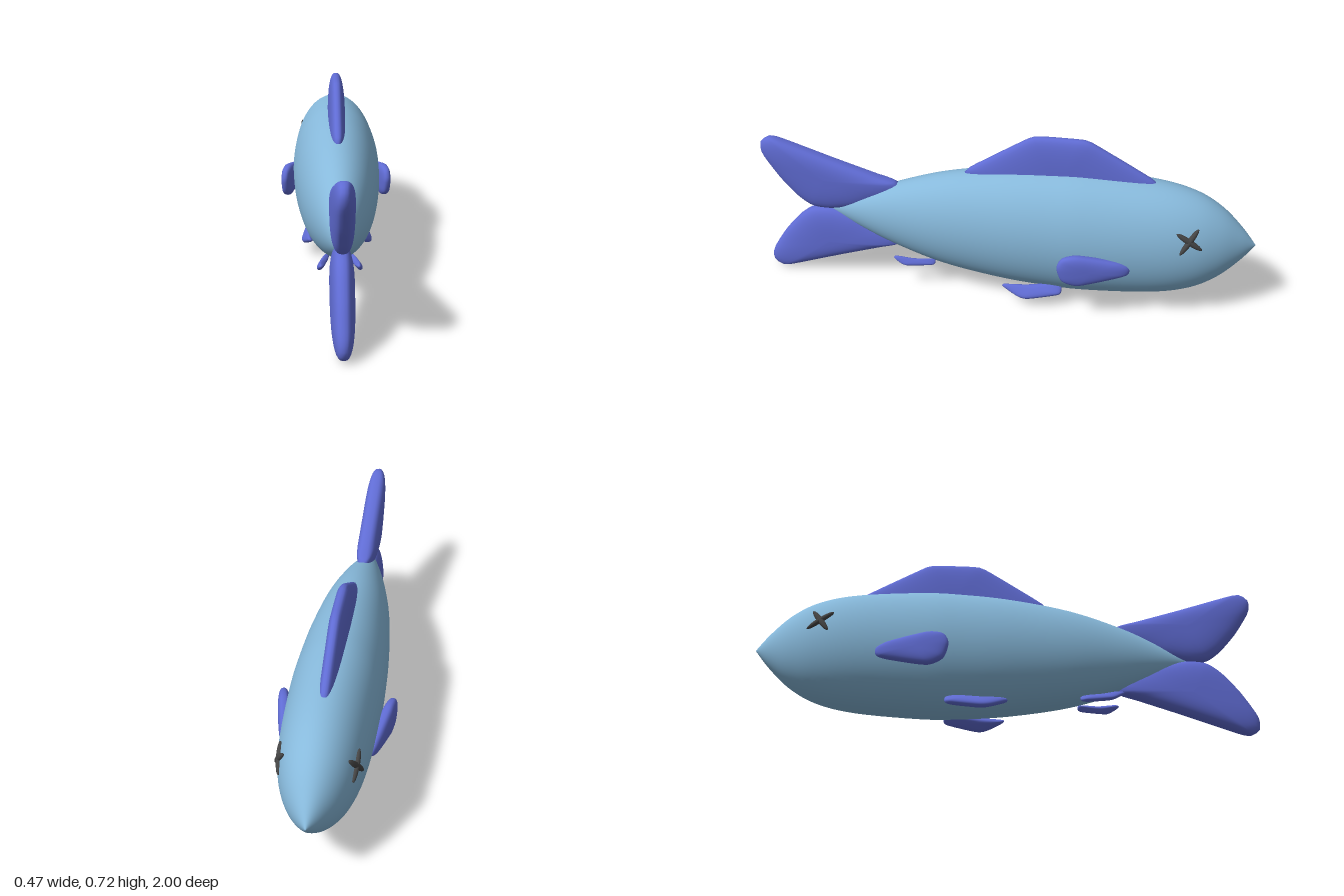
import * as THREE from 'three';

const bodyBlue = new THREE.MeshStandardMaterial({ color: 0x87b9db });
bodyBlue.name = 'bodyBlue';
const finIndigo = new THREE.MeshStandardMaterial({ color: 0x606cd4 });
finIndigo.name = 'finIndigo';
const eyeGrey = new THREE.MeshStandardMaterial({ color: 0x444444 });
eyeGrey.name = 'eyeGrey';

// Cushion-like fin: rings of a smooth (z, y) outline shrink towards both flat sides.
function finGeometry(outline, halfThickness, tension = 0.35) {
  const curve = new THREE.CatmullRomCurve3(
    outline.map(([z, y]) => new THREE.Vector3(0, y, z)), true, 'catmullrom', tension);
  const n = 64, rings = 20;
  let rim = curve.getSpacedPoints(n).slice(0, n).map((p) => new THREE.Vector2(p.z, p.y));
  if (THREE.ShapeUtils.area(rim) < 0) rim = rim.reverse();
  const c = rim.reduce((s, p) => s.add(p), new THREE.Vector2()).divideScalar(n);
  const pos = [], index = [];
  for (let k = 0; k <= rings; k++) {
    const a = Math.PI * (0.5 - k / rings);
    const s = Math.pow(Math.max(0, Math.cos(a)), 0.75);
    const x = halfThickness * Math.sign(a) * Math.pow(Math.abs(Math.sin(a)), 0.75);
    for (const p of rim) pos.push(x, c.y + (p.y - c.y) * s, c.x + (p.x - c.x) * s);
  }
  for (let k = 0; k < rings; k++) {
    for (let i = 0; i < n; i++) {
      const a = k * n + i, b = k * n + (i + 1) % n;
      if (k > 0) index.push(a, b, a + n);
      if (k < rings - 1) index.push(b, b + n, a + n);
    }
  }
  const g = new THREE.BufferGeometry();
  g.setAttribute('position', new THREE.Float32BufferAttribute(pos, 3));
  g.setIndex(index);
  g.computeVertexNormals();
  return g;
}

function addMesh(parent, name, geometry, material) {
  const m = new THREE.Mesh(geometry, material);
  m.name = name;
  parent.add(m);
  return m;
}

export function createModel() {
  const fish = new THREE.Group();
  fish.name = 'fish';
  const midY = 0.315;

  // Body: a spindle along z, flattened sideways; the nose is at -z
  const profile = [
    [0, -1], [0.075, -0.94], [0.155, -0.855], [0.212, -0.75], [0.246, -0.6], [0.264, -0.35],
    [0.262, -0.2], [0.246, 0], [0.205, 0.24], [0.142, 0.44], [0.073, 0.6], [0, 0.74],
  ].map(([r, z]) => new THREE.Vector2(r, z));
  const points = new THREE.SplineCurve(profile).getPoints(60);
  points.forEach((p) => { p.x = Math.max(0, p.x); });
  const bodyGeo = new THREE.LatheGeometry(points, 64);
  bodyGeo.rotateX(Math.PI / 2).scale(0.18 / 0.265, 1, 1);
  addMesh(fish, 'body', bodyGeo, bodyBlue).position.y = midY;

  // Back fin
  addMesh(fish, 'dorsalFin', finGeometry([
    [-0.61, 0.53], [-0.585, 0.57], [-0.36, 0.7], [-0.31, 0.72], [-0.13, 0.72], [-0.08, 0.7],
    [0.13, 0.565], [0.16, 0.53], [0.1, 0.43], [-0.22, 0.4], [-0.55, 0.44],
  ], 0.035, 0.25), finIndigo);

  // Tail: two lobes mirrored about the body axis
  for (const side of [1, -1]) {
    const lobe = [
      [0.43, 0.14], [0.52, 0.17], [0.7, 0.228], [0.93, 0.305], [0.97, 0.306], [0.998, 0.28],
      [0.992, 0.23], [0.93, 0.13], [0.86, 0.048], [0.8, 0.006], [0.72, 0], [0.6, 0.025], [0.46, 0.09],
    ].map(([z, y]) => [z, midY + side * y]);
    addMesh(fish, side > 0 ? 'upperTailFin' : 'lowerTailFin', finGeometry(lobe, 0.044), finIndigo);
  }

  // Paired fins, outlines given around their own centres
  const pairs = [
    { name: 'SideFin', at: [0.19, 0.255, -0.38], yaw: 0.21, roll: 0, half: 0.026, outline: [
      [0.142, 0.015], [0.122, 0.055], [0.06, 0.066], [-0.095, 0.035], [-0.142, 0.01],
      [-0.138, -0.022], [-0.07, -0.043], [0.06, -0.069], [0.122, -0.045]] },
    { name: 'BellyFin', at: [0.113, 0.078, -0.13], yaw: 0.03, roll: 0.75, half: 0.017, outline: [
      [0.12, 0.012], [0.1, -0.008], [0.05, -0.035], [0.01, -0.04], [-0.11, -0.014],
      [-0.122, 0.008], [-0.118, 0.03], [-0.08, 0.032], [0.02, 0.018]] },
    { name: 'RearBellyFin', at: [0.065, 0.127, 0.365], yaw: 0.22, roll: 0.6, half: 0.012, outline: [
      [0.085, 0.02], [0.07, 0.004], [0.035, -0.016], [-0.07, -0.018], [-0.086, -0.008],
      [-0.08, 0.008], [0, 0.012], [0.07, 0.025]] },
  ];
  for (const p of pairs) {
    const geo = finGeometry(p.outline, p.half);
    for (const side of [1, -1]) {
      const fin = addMesh(fish, (side > 0 ? 'left' : 'right') + p.name, geo, finIndigo);
      fin.position.set(side * p.at[0], p.at[1], p.at[2]);
      fin.rotation.set(0, side * p.yaw, side * p.roll);
    }
  }

  // Eyes: crossed slim strokes lying on the head
  const strokeGeo = new THREE.SphereGeometry(1, 24, 16).scale(0.012, 0.012, 0.062);
  for (const side of [1, -1]) {
    const eye = new THREE.Group();
    eye.name = side > 0 ? 'leftEye' : 'rightEye';
    eye.position.set(side * 0.137, 0.39, -0.74);
    eye.rotation.set(0, side * 0.26, side * 0.25);
    for (const tilt of [-0.63, 0.95]) {
      addMesh(eye, 'eyeStroke', strokeGeo, eyeGrey).rotation.x = tilt;
    }
    fish.add(eye);
  }
  return fish;
}
